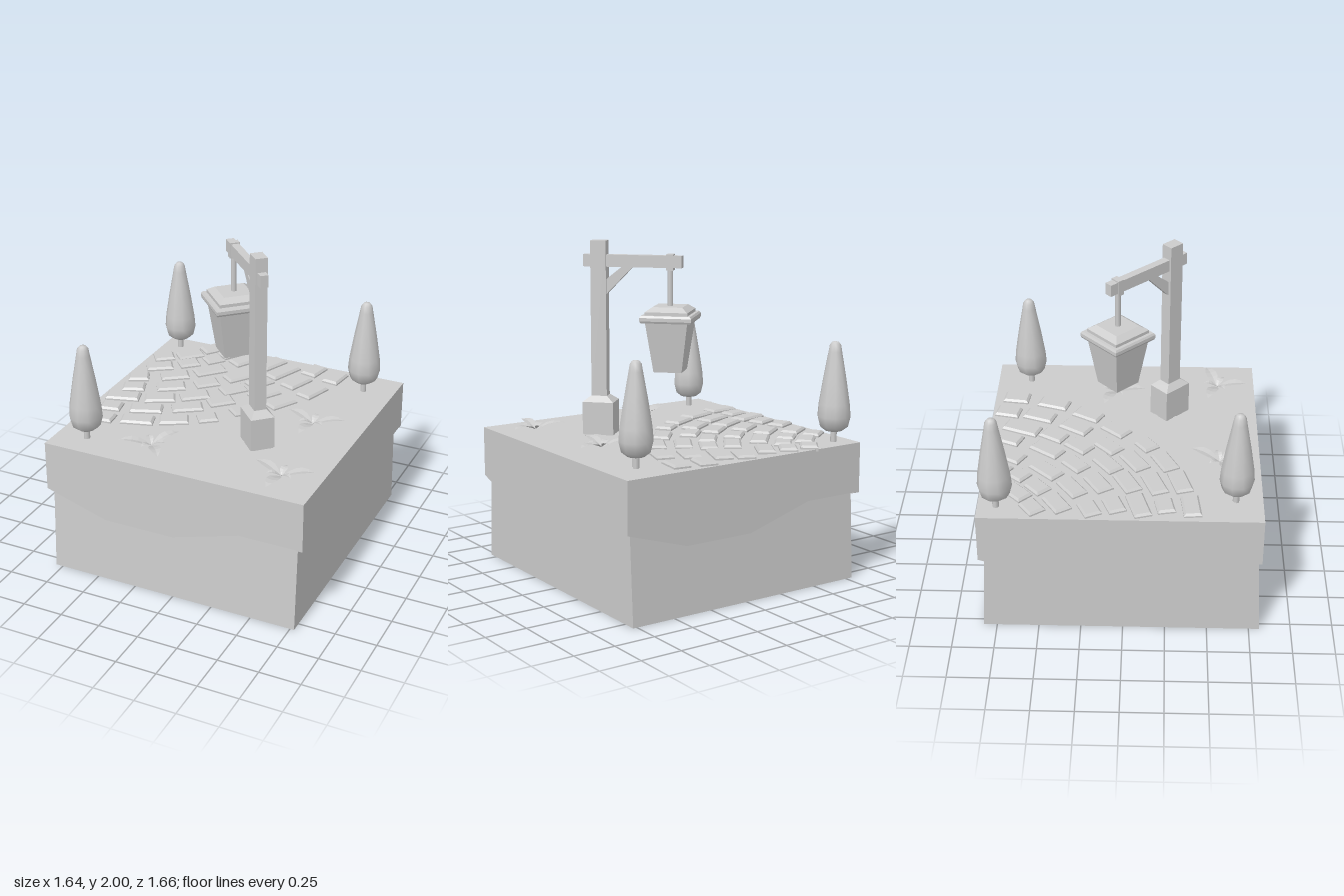
import * as THREE from 'three';

const GROUND = 0.83;
const mat = new THREE.MeshStandardMaterial({ color: 0xcccccc, flatShading: true });
const thin = new THREE.MeshStandardMaterial({ color: 0xcccccc, flatShading: true, side: THREE.DoubleSide });
const smooth = new THREE.MeshStandardMaterial({ color: 0xcccccc });

function add(parent, name, geometry, material = mat, x = 0, y = 0, z = 0) {
  const mesh = new THREE.Mesh(geometry, material);
  mesh.name = name;
  mesh.position.set(x, y, z);
  parent.add(mesh);
  return mesh;
}

// Box standing on y0 whose top is scaled by sx and sz
function frustum(w, d, y0, y1, sx = 1, sz = sx) {
  const g = new THREE.BoxGeometry(w, y1 - y0, d);
  const p = g.attributes.position;
  for (let i = 0; i < p.count; i++) {
    if (p.getY(i) > 0) p.setXYZ(i, p.getX(i) * sx, p.getY(i), p.getZ(i) * sz);
  }
  g.translate(0, (y0 + y1) / 2, 0);
  g.computeVertexNormals();
  return g;
}

function polygon(points) {
  return new THREE.Shape(points.map(([x, y]) => new THREE.Vector2(x, y)));
}

// Earth block with an overhanging, wavy turf layer
function buildGround(root) {
  add(root, 'earthBlock', frustum(1.57, 1.645, 0, 0.6, 1, 0.96), mat, -0.01, 0, -0.008);
  const turf = new THREE.Group();
  turf.name = 'turf';
  turf.position.set(-0.01, 0, -0.015);
  root.add(turf);
  add(turf, 'turfTop', frustum(1.56, 1.56, 0.58, GROUND));
  const edge = polygon([[-0.82, 0.525], [-0.43, 0.405], [0.01, 0.405], [0.43, 0.53], [0.82, 0.53], [0.82, GROUND], [-0.82, GROUND]]);
  const wall = new THREE.ExtrudeGeometry(edge, { depth: 0.04, bevelEnabled: false });
  wall.translate(0, 0, 0.78);
  for (let i = 0; i < 4; i++) add(turf, 'turfEdge', wall).rotation.y = i * Math.PI / 2;
}

// Paving stones: x, z, length; their direction turns along the curved path
const STONES = [
  [-0.50, -0.76, 0.13], [-0.36, -0.74, 0.13], [-0.23, -0.69, 0.18], [-0.05, -0.72, 0.18], [0.06, -0.64, 0.23],
  [0.24, -0.74, 0.15], [0.40, -0.70, 0.16], [-0.73, -0.52, 0.13], [-0.59, -0.62, 0.17], [-0.42, -0.62, 0.12],
  [-0.54, -0.50, 0.13], [-0.37, -0.46, 0.20], [-0.16, -0.47, 0.20], [-0.01, -0.44, 0.16], [0.20, -0.54, 0.19],
  [0.34, -0.46, 0.19], [-0.69, -0.38, 0.17], [-0.54, -0.30, 0.18], [-0.31, -0.29, 0.15], [-0.12, -0.28, 0.16],
  [0.08, -0.31, 0.19], [0.22, -0.24, 0.18], [-0.74, -0.19, 0.13], [-0.49, -0.15, 0.18], [-0.30, -0.10, 0.18],
  [-0.70, -0.05, 0.14], [-0.48, 0.02, 0.19], [-0.27, 0.06, 0.19], [-0.10, 0.13, 0.12], [-0.70, 0.09, 0.21],
  [-0.49, 0.18, 0.20], [-0.27, 0.24, 0.18], [-0.70, 0.24, 0.13], [-0.70, 0.39, 0.19], [-0.47, 0.33, 0.20],
  [-0.12, -0.10, 0.16], [0.06, -0.06, 0.17],
];

function buildPath(root) {
  for (const [x, z, length] of STONES) {
    const stone = new THREE.Group();
    stone.name = 'pavingStone';
    stone.position.set(x, GROUND, z);
    stone.rotation.y = THREE.MathUtils.degToRad(44.5 + 36 * x - 34 * z);
    add(stone, 'stoneSide', frustum(length, 0.105, -0.01, 0.01));
    add(stone, 'stoneTop', frustum(length, 0.105, 0.01, 0.022, 1 - 0.025 / length, 0.78));
    root.add(stone);
  }
}

// Lamp post, with local x running along the arm
function buildLamp(root) {
  const lamp = new THREE.Group();
  lamp.name = 'lampPost';
  lamp.position.set(0.29, 0, 0.265);
  lamp.rotation.y = -0.81;
  root.add(lamp);
  add(lamp, 'postBase', frustum(0.19, 0.144, GROUND - 0.01, 1.03));
  add(lamp, 'postBaseCap', frustum(0.19, 0.144, 1.03, 1.065, 0.52));
  add(lamp, 'post', frustum(0.095, 0.073, 1.03, 2));
  add(lamp, 'arm', frustum(0.6, 0.048, 1.845, 1.917), mat, -0.205);
  const brace = new THREE.ExtrudeGeometry(
    polygon([[-0.21, 1.85], [-0.045, 1.68], [-0.045, 1.77], [-0.145, 1.85]]), { depth: 0.036, bevelEnabled: false });
  add(lamp, 'brace', brace, mat, 0, 0, -0.018);

  const lantern = new THREE.Group();
  lantern.name = 'lantern';
  lantern.position.x = -0.432;
  lamp.add(lantern);
  add(lantern, 'armCollar', frustum(0.042, 0.06, 1.83, 1.925));
  add(lantern, 'hangingRod', new THREE.CylinderGeometry(0.017, 0.017, 0.25, 8), smooth, 0, 1.725);
  add(lantern, 'lanternBody', frustum(0.17, 0.17, 1.23, 1.535, 1.5));
  add(lantern, 'lanternRimLower', frustum(0.298, 0.298, 1.53, 1.542, 1.04));
  add(lantern, 'lanternRim', frustum(0.31, 0.31, 1.542, 1.562));
  add(lantern, 'lanternRimUpper', frustum(0.31, 0.31, 1.562, 1.574, 0.95));
  add(lantern, 'roofStep', frustum(0.255, 0.255, 1.57, 1.593));
  add(lantern, 'roof', frustum(0.255, 0.255, 1.593, 1.62, 0.7));
}

// Slim rounded conifers
function buildTrees(root) {
  const profile = [[0, 0.895], [0.05, 0.898], [0.085, 0.925], [0.1, 0.985], [0.094, 1.06], [0.07, 1.21],
    [0.041, 1.37], [0.034, 1.41], [0.02, 1.428], [0, 1.432]].map(([r, y]) => new THREE.Vector2(r, y));
  const crown = new THREE.LatheGeometry(profile, 10);
  const trunk = new THREE.CylinderGeometry(0.019, 0.019, 0.1, 8);
  for (const [x, z] of [[-0.715, -0.727], [0.617, -0.625], [-0.635, 0.647]]) {
    add(root, 'treeCrown', crown, smooth, x, 0, z);
    add(root, 'treeTrunk', trunk, smooth, x, 0.865, z);
  }
}

// Pointed leaf along +x, arched upward and folded along its middle
function leaf(length, halfWidth, height) {
  const g = new THREE.PlaneGeometry(1, 2, 5, 2);
  const p = g.attributes.position;
  for (let i = 0; i < p.count; i++) {
    const t = p.getX(i) + 0.5, s = p.getY(i);
    const w = halfWidth * Math.sin(Math.PI * t);
    p.setXYZ(i, t * length, height * Math.sin(2.2 * t) + 0.2 * Math.abs(s) * w, s * w);
  }
  g.computeVertexNormals();
  return g;
}

function buildPlants(root) {
  const big = leaf(0.195, 0.036, 0.038), small = leaf(0.085, 0.022, 0.03);
  for (const [x, z, turn] of [[0.5, -0.08, 0], [0.575, 0.57, 0], [-0.25, 0.565, 0.72]]) {
    const plant = new THREE.Group();
    plant.name = 'plant';
    plant.position.set(x, GROUND, z);
    plant.rotation.y = turn;
    for (const a of [0.35, 2.8, 4.66]) add(plant, 'bigLeaf', big, thin).rotation.y = a;
    for (const a of [1.57, 3.7, 5.76]) add(plant, 'smallLeaf', small, thin, 0, 0.003).rotation.y = a;
    root.add(plant);
  }
}

// Small lobed grass patches scattered beside the path
function buildGrass(root) {
  let seed = 7;
  const random = () => (seed = (seed * 16807) % 2147483647) / 2147483647;
  const patch = new THREE.CircleGeometry(1, 18);
  const p = patch.attributes.position;
  for (let i = 1; i < p.count; i++) {
    const r = 0.026 + 0.009 * Math.cos((i - 1) / 18 * Math.PI * 6);
    p.setXY(i, p.getX(i) * r, p.getY(i) * r);
  }
  patch.rotateX(-Math.PI / 2);
  for (let i = 0; i < 180; i++) {
    const x = -0.8 + 1.58 * random(), z = -0.8 + 1.57 * random(), turn = random() * 6;
    if (STONES.some(([sx, sz]) => Math.hypot(x - sx, z - sz) < 0.13)) continue;
    add(root, 'grassPatch', patch, mat, x, GROUND + 0.004, z).rotation.y = turn;
  }
}

export function createModel() {
  const root = new THREE.Group();
  root.name = 'lanternGarden';
  for (const build of [buildGround, buildPath, buildLamp, buildTrees, buildPlants, buildGrass]) build(root);
  return root;
}
